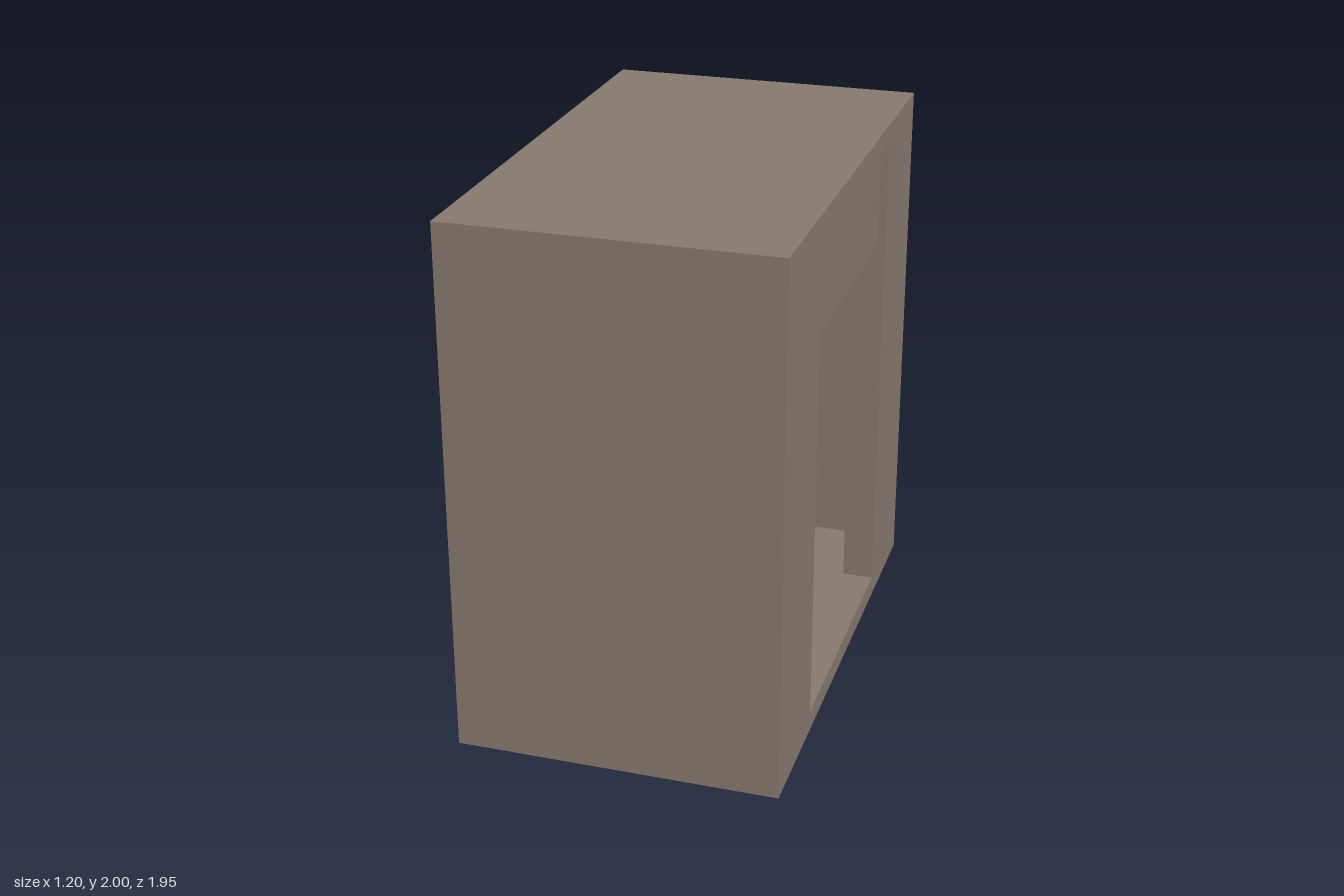
import * as THREE from 'three';

const W = 0.6, D = 0.975, H = 2;          // outer half width, half depth, height
const FLOOR = 0.08, CEIL = 1.925;         // inner floor and ceiling heights
const BACK = -0.45, FRONT = 0.48;         // inner faces of the closed and doorway walls
const SIDE = 0.895, DOOR = 0.525;         // inner half depth, doorway half width

export function createModel() {
  const model = new THREE.Group();
  const taupe = new THREE.MeshStandardMaterial({ color: 0x877a6f });
  taupe.name = 'taupe';

  const add = (name, geometry) => {
    const mesh = new THREE.Mesh(geometry, taupe);
    mesh.name = name;
    model.add(mesh);
  };
  // Box given by its minimum and maximum corners
  const box = (name, [x0, y0, z0], [x1, y1, z1]) =>
    add(name, new THREE.BoxGeometry(x1 - x0, y1 - y0, z1 - z0)
      .translate((x0 + x1) / 2, (y0 + y1) / 2, (z0 + z1) / 2));

  // Floor and roof slabs
  box('floor', [-W, 0, -D], [W, FLOOR, D]);
  box('roof', [-W, CEIL, -D], [W, H, D]);

  // Walls: a C-shaped plan, open at the doorway, raised from floor to ceiling
  const plan = new THREE.Shape([
    [W, DOOR], [W, D], [-W, D], [-W, -D], [W, -D], [W, -DOOR],
    [FRONT, -DOOR], [FRONT, -SIDE], [BACK, -SIDE],
    [BACK, SIDE], [FRONT, SIDE], [FRONT, DOOR],
  ].map(([x, y]) => new THREE.Vector2(x, y)));
  const walls = new THREE.ExtrudeGeometry(plan, { depth: CEIL - FLOOR, bevelEnabled: false });
  add('walls', walls.rotateX(-Math.PI / 2).translate(0, FLOOR, 0));

  // Recessed panel above the doorway
  box('doorHeader', [0.45, 1.52, -DOOR], [0.57, CEIL, DOOR]);

  // Small box on the inside of the front wall
  box('controlBox', [0.07, 0.58, SIDE - 0.025], [0.25, 0.865, SIDE]);

  return model;
}
